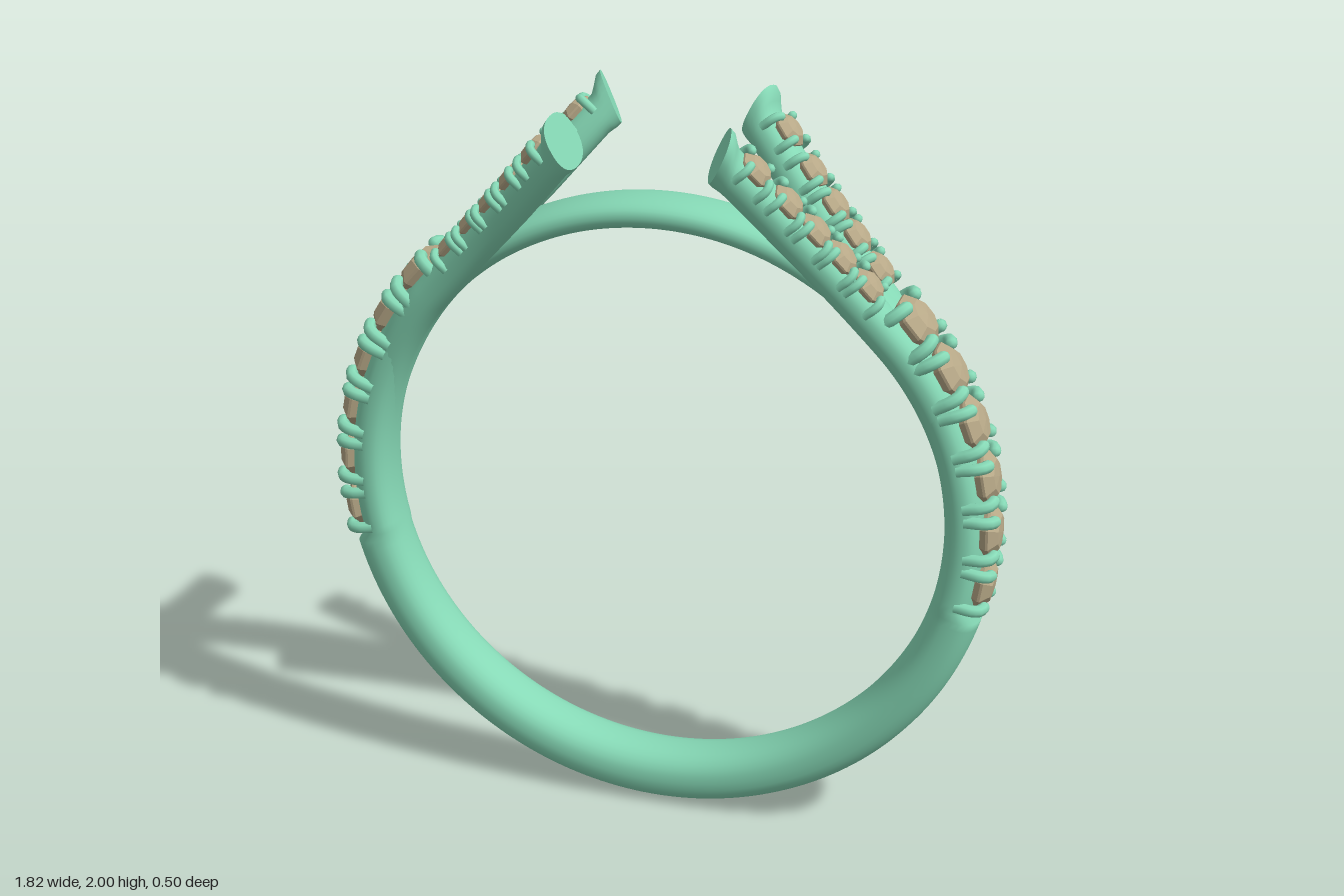
import * as THREE from 'three';
import { mergeGeometries } from 'three/addons/utils/BufferGeometryUtils.js';

const CY = 0.91, INNER = 0.76;          // finger hole centre height and radius
const BEND = THREE.MathUtils.degToRad(40); // where the arms leave the circle
const ARM_END = 0.657;
const metal = new THREE.MeshStandardMaterial({ color: 0x86d9b6 });
const stone = new THREE.MeshStandardMaterial({ color: 0xb8a988, flatShading: true });
const { clamp, smoothstep, lerp, degToRad } = THREE.MathUtils;
const V = (x, y, z) => new THREE.Vector3(x, y, z);

// Loft rounded sections: c centre, n outward, t forward, b sideways, a/w half sizes, shear tilts the cut
function loft(sections, closed, sides = 28) {
  const pos = [], idx = [], count = sections.length;
  const soft = v => Math.sign(v) * Math.abs(v) ** 0.85;
  for (const s of sections) {
    for (let j = 0; j < sides; j++) {
      const f = (j / sides) * Math.PI * 2;
      const h = s.a * soft(Math.cos(f));
      const p = s.c.clone().addScaledVector(s.n, h)
        .addScaledVector(s.b, s.w * soft(Math.sin(f)))
        .addScaledVector(s.t, h * (s.shear || 0));
      pos.push(p.x, p.y, p.z);
    }
  }
  for (let i = 0; i < (closed ? count : count - 1); i++) {
    for (let j = 0; j < sides; j++) {
      const k = (i + 1) % count, m = (j + 1) % sides;
      const a = i * sides + j, b = k * sides + j, c = k * sides + m, d = i * sides + m;
      idx.push(a, b, d, b, c, d);
    }
  }
  if (!closed) { // flat end cap with its own vertices
    const base = pos.length / 3, last = (count - 1) * sides;
    for (let j = 0; j < sides * 3; j++) pos.push(pos[last * 3 + j]);
    const c = sections[count - 1].c;
    pos.push(c.x, c.y, c.z);
    for (let j = 0; j < sides; j++) idx.push(base + sides, base + (j + 1) % sides, base + j);
  }
  const g = new THREE.BufferGeometry();
  g.setAttribute('position', new THREE.Float32BufferAttribute(pos, 3));
  g.setIndex(idx);
  g.computeVertexNormals();
  return g;
}

// Full band: thick below, lowered under the stones, thin as the top bridge
function bandGeometry() {
  const sections = [];
  for (let i = 0; i < 240; i++) {
    const th = (i / 240) * Math.PI * 2;
    const up = Math.asin(clamp(Math.sin(th), -1, 1)) * 180 / Math.PI;
    const thick = up < -13.5 ? lerp(0.15, 0.138, smoothstep(up, -90, -14))
      : lerp(0.108, 0.08, smoothstep(up, 38, 62));
    const n = V(Math.cos(th), Math.sin(th), 0);
    sections.push({
      c: n.clone().multiplyScalar(INNER + thick / 2).add(V(0, CY, 0)),
      n, t: V(-n.y, n.x, 0), b: V(0, 0, 1), a: thick / 2,
      w: lerp(0.088, 0.082, smoothstep(up, 40, 80)),
    });
  }
  return loft(sections, true);
}

// Arm frame at distance s past the bend; side is +1 (front) or -1 (back)
function armFrame(s, side) {
  const th = BEND + Math.min(s, 0) / 0.81;
  const n = V(Math.cos(th), Math.sin(th), 0);
  const along = Math.max(s, 0);
  const flare = smoothstep(s, ARM_END - 0.05, ARM_END - 0.01);
  const d = lerp(0.81 - 0.01 * clamp(s / 0.4, 0, 1), 0.81, flare);
  const z = Math.max(0, 0.042 + 0.09 * s + 0.21 * along * along);
  const slope = 0.09 + 0.42 * along;
  const t = V(-n.y, n.x, side * slope).normalize();
  return {
    c: V(n.x * d - n.y * along, CY + n.y * d + n.x * along, side * z),
    n, t, b: n.clone().cross(t), a: lerp(0.05, 0.066, flare), w: 0.064 - 0.008 * along,
    shear: 0.47 * smoothstep(s, 0.35, ARM_END),
  };
}

function armGeometry(side) {
  const sections = [];
  for (let i = 0; i <= 70; i++) sections.push(armFrame(lerp(-0.45, ARM_END, i / 70), side));
  return loft(sections, false);
}

// Unit stone: rounded underside, girdle, sloping crown and flat table
const gemGeometry = new THREE.LatheGeometry([
  [0, -0.75], [0.5, -0.62], [0.88, -0.25], [1, 0], [1, 0.1], [0.62, 0.42], [0, 0.48],
].map(p => new THREE.Vector2(...p)), 8, Math.PI / 8);

// Four unit claws bending from the side wall over the stone edge
const clawGeometry = (() => {
  const parts = [];
  for (const x of [-1, 1]) for (const z of [-1, 1]) {
    const path = new THREE.CatmullRomCurve3([
      V(x * 0.74, -0.75, z * 1.08), V(x * 0.74, -0.1, z * 1.08),
      V(x * 0.72, 0.2, z * 0.92), V(x * 0.68, 0.28, z * 0.66),
    ]);
    parts.push(new THREE.TubeGeometry(path, 8, 0.23, 8));
    parts.push(new THREE.SphereGeometry(0.23, 8, 6).translate(x * 0.68, 0.28, z * 0.66));
  }
  return mergeGeometries(parts);
})();

function setStone(p, n, t, r) {
  const g = new THREE.Group();
  g.name = 'stoneSetting';
  const gem = new THREE.Mesh(gemGeometry, stone);
  gem.name = 'stone';
  const claws = new THREE.Mesh(clawGeometry, metal);
  claws.name = 'claws';
  g.add(gem, claws);
  const x = t.clone().negate();
  g.quaternion.setFromRotationMatrix(new THREE.Matrix4().makeBasis(x, n, x.clone().cross(n)));
  g.position.copy(p);
  g.scale.setScalar(r);
  return g;
}

// One shoulder: split arms, single row of stones, then a row on each arm
function createShoulder() {
  const shoulder = new THREE.Group();
  for (let i = 0; i < 6; i++) {
    const th = degToRad(-8.6 + 9.9 * i);
    const n = V(Math.cos(th), Math.sin(th), 0);
    const p = n.clone().multiplyScalar(0.874).add(V(0, CY, 0));
    shoulder.add(setStone(p, n, V(-n.y, n.x, 0), 0.07 + 0.0012 * i));
  }
  for (const side of [1, -1]) {
    const arm = new THREE.Mesh(armGeometry(side), metal);
    arm.name = side > 0 ? 'frontArm' : 'backArm';
    shoulder.add(arm);
    [0.166, 0.266, 0.36, 0.46, 0.573].forEach((s, i) => {
      const f = armFrame(s, side);
      const p = f.c.clone().addScaledVector(f.n, 0.05);
      shoulder.add(setStone(p, f.n, f.t, 0.052 - 0.0005 * i));
    });
  }
  return shoulder;
}

export function createModel() {
  const ring = new THREE.Group();
  ring.name = 'ring';
  const band = new THREE.Mesh(bandGeometry(), metal);
  band.name = 'band';
  const left = createShoulder();
  left.name = 'leftShoulder';
  const right = createShoulder();
  right.name = 'rightShoulder';
  right.rotation.y = Math.PI;
  ring.add(band, left, right);
  return ring;
}
